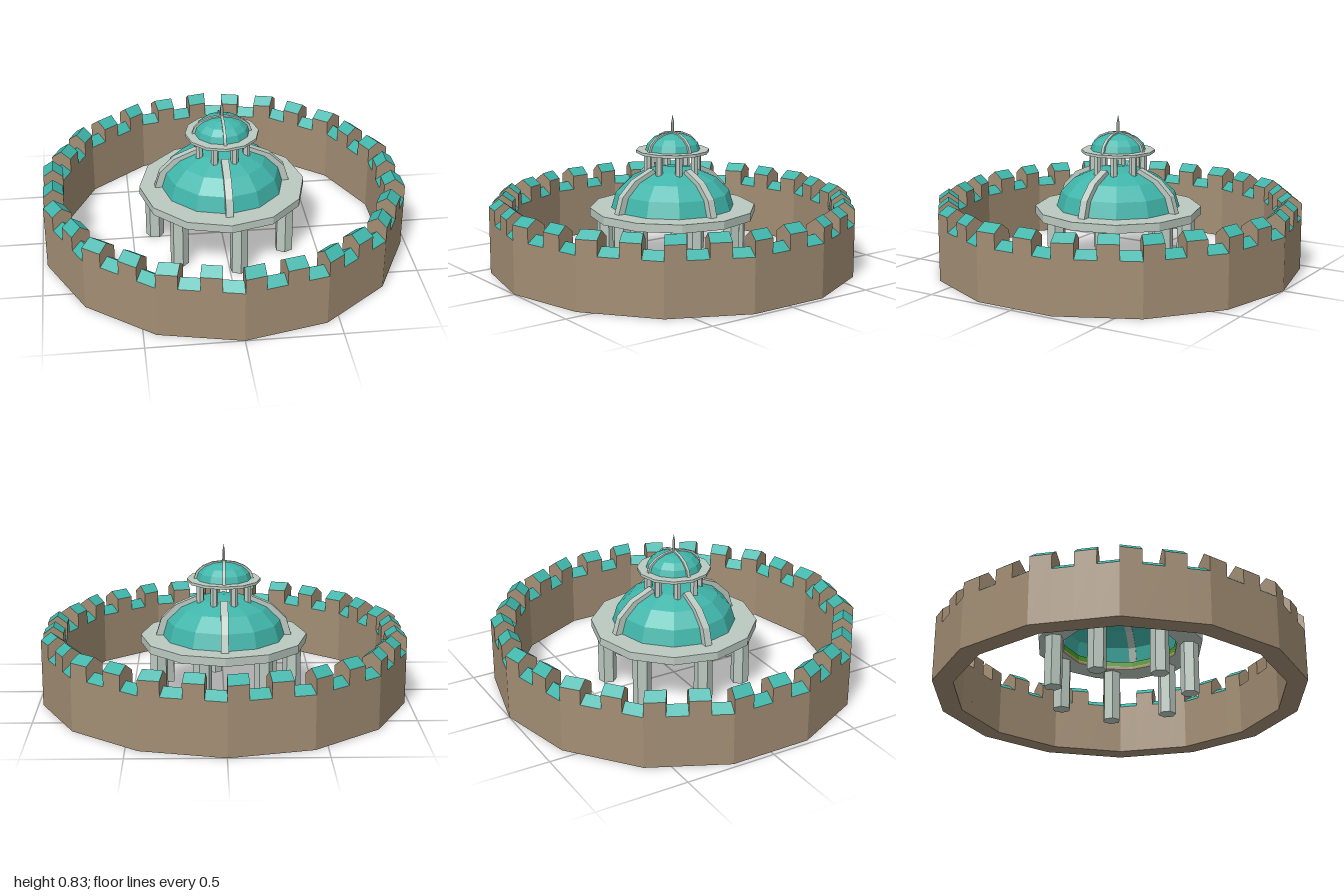
import * as THREE from 'three';

const mat = (name, color, extra = {}) => {
  const m = new THREE.MeshStandardMaterial({ color, flatShading: true, ...extra });
  m.name = name;
  return m;
};

export function createModel() {
  const stone = mat('tan stone', 0xa38e74);
  const roof = mat('teal roof', 0x40b5aa, { side: THREE.DoubleSide });
  const marble = mat('pale marble', 0xbccac1);
  const green = mat('green rim', 0x4a9a22, { side: THREE.DoubleSide });

  const model = new THREE.Group();
  model.name = 'walledPavilion';
  const add = (name, geometry, material, parent = model) => {
    const mesh = new THREE.Mesh(geometry, material);
    mesh.name = name;
    parent.add(mesh);
    return mesh;
  };

  // Ring wall: 14 straight sides, four alternating merlons and gaps on each
  const SIDES = 14, PARTS = 4;
  const wallTris = [], copingTris = [];
  const quad = (out, a, b, c, d) => out.push(...a, ...b, ...c, ...a, ...c, ...d);
  const corner = (r, k) => {
    const t = (k / SIDES) * Math.PI * 2;
    return [r * Math.sin(t), r * Math.cos(t)];
  };
  const onSide = ([r, y], side, f) => {
    const a = corner(r, side), b = corner(r, side + 1);
    return [a[0] + (b[0] - a[0]) * f, y, a[1] + (b[1] - a[1]) * f];
  };
  for (let side = 0; side < SIDES; side++) {
    for (let part = 0; part < PARTS; part++) {
      const merlon = part % 2 === 0;
      const edge = merlon ? 0.365 : 0.285;
      const section = [[1, 0], [1, edge], [0.945, edge + 0.04], [0.89, edge], [0.89, 0]];
      const p = section.map((s) => onSide(s, side, part / PARTS));
      const q = section.map((s) => onSide(s, side, (part + 1) / PARTS));
      for (let i = 0; i < 5; i++) {
        const j = (i + 1) % 5;
        quad(i === 1 || i === 2 ? copingTris : wallTris, p[i], q[i], q[j], p[j]);
      }
      if (merlon) {
        // End faces of the merlon
        quad(wallTris, p[0], p[1], p[3], p[4]);
        wallTris.push(...p[1], ...p[2], ...p[3]);
        quad(wallTris, q[4], q[3], q[1], q[0]);
        wallTris.push(...q[3], ...q[2], ...q[1]);
      }
    }
  }
  const fromTris = (tris) => {
    const g = new THREE.BufferGeometry();
    g.setAttribute('position', new THREE.Float32BufferAttribute(tris, 3));
    g.computeVertexNormals();
    return g;
  };
  add('ringWall', fromTris(wallTris), stone);
  add('wallCoping', fromTris(copingTris), roof);

  // Flat ring with a square section
  const ring = (inner, outer, y0, y1) => new THREE.LatheGeometry(
    [[inner, y0], [outer, y0], [outer, y1], [inner, y1], [inner, y0]]
      .map(([x, y]) => new THREE.Vector2(x, y)), 12);

  // Hexagonal columns in a circle
  const columns = (name, count, start, circle, radius, y0, y1) => {
    const group = new THREE.Group();
    group.name = name;
    for (let i = 0; i < count; i++) {
      const t = start + (i / count) * Math.PI * 2;
      const c = add('column', new THREE.CylinderGeometry(radius, radius, y1 - y0, 6), marble, group);
      c.position.set(circle * Math.sin(t), (y0 + y1) / 2, circle * Math.cos(t));
      c.rotation.y = t;
    }
    model.add(group);
  };

  // Half dome with 12 sides
  const dome = (name, radius, height, y) => {
    const g = new THREE.SphereGeometry(radius, 12, 4, 0, Math.PI * 2, 0, Math.PI / 2);
    g.scale(1, height / radius, 1);
    add(name, g, roof).position.y = y;
  };

  // Four curved ribs, following the dome and standing proud of it
  const ribs = (name, radius, height, y, proud, width, last) => {
    const at = (r, h, i) => [r * Math.cos(i * Math.PI / 8), h * Math.sin(i * Math.PI / 8)];
    const outer = [], inner = [];
    for (let i = 0; i <= last; i++) {
      outer.push(at(radius + proud, height + proud * 0.6, i));
      inner.unshift(at(radius - 0.008, height - 0.008, i));
    }
    const shape = new THREE.Shape([...outer, ...inner].map(([a, b]) => new THREE.Vector2(a, b)));
    const g = new THREE.ExtrudeGeometry(shape, { depth: width, bevelEnabled: false });
    g.translate(0, 0, -width / 2);
    const group = new THREE.Group();
    group.name = name;
    group.position.y = y;
    for (let i = 0; i < 4; i++) add('rib', g, marble, group).rotation.y = i * Math.PI / 2;
    model.add(group);
  };

  // Lower pavilion
  columns('lowerColumns', 7, 0.13, 0.375, 0.05, 0, 0.29);
  add('lowerPlatform', ring(0.315, 0.455, 0.285, 0.33), marble);
  add('platformRim', new THREE.CylinderGeometry(0.313, 0.313, 0.03, 12, 1, true), green).position.y = 0.315;
  add('rimMoulding', new THREE.CylinderGeometry(0.314, 0.314, 0.012, 12, 1, true),
    mat('tan moulding', 0xb08a58, { side: THREE.DoubleSide })).position.y = 0.292;
  dome('mainDome', 0.337, 0.222, 0.33);
  ribs('mainRibs', 0.337, 0.222, 0.33, 0.033, 0.04, 3);

  // Upper lantern
  columns('lanternColumns', 8, Math.PI / 8, 0.138, 0.021, 0.5, 0.635);
  add('lanternPlatform', ring(0.13, 0.2, 0.63, 0.645), marble);
  dome('lanternDome', 0.15, 0.092, 0.645);
  ribs('lanternRibs', 0.15, 0.092, 0.645, 0.012, 0.016, 4);

  // Spire
  add('spireShaft', new THREE.CylinderGeometry(0.009, 0.009, 0.06, 6), marble).position.y = 0.76;
  add('spireTip', new THREE.ConeGeometry(0.009, 0.045, 6), marble).position.y = 0.8125;

  return model;
}
